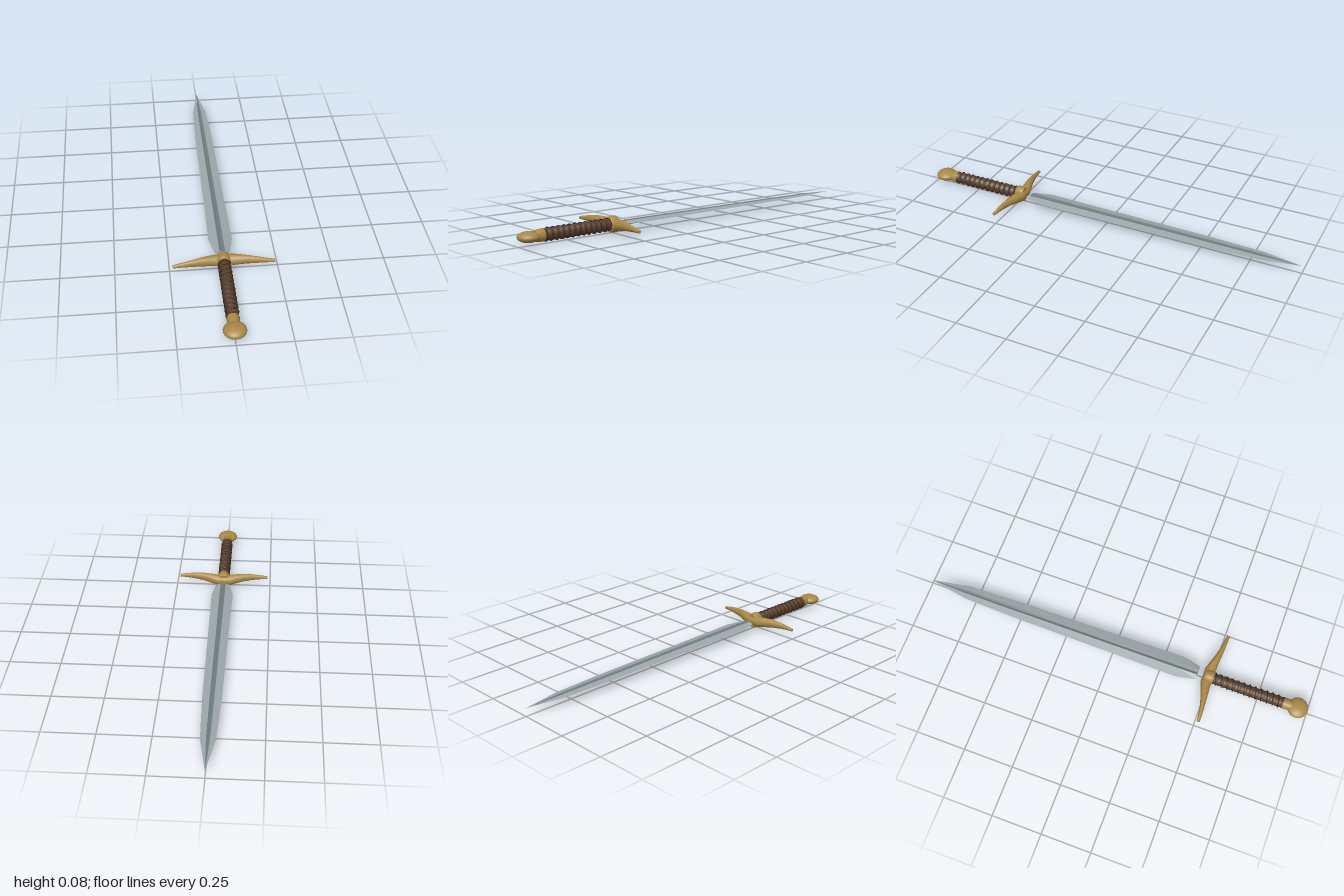
import * as THREE from 'three';

const MID = 0.04; // height of the sword's axis above the ground

const steel = new THREE.MeshStandardMaterial({ color: 0x9ca7a9 });
const darkSteel = new THREE.MeshStandardMaterial({ color: 0x6f7b7f });
const brass = new THREE.MeshStandardMaterial({ color: 0xa98848 });
const leather = new THREE.MeshStandardMaterial({ color: 0x5a402c });
const cord = new THREE.MeshStandardMaterial({ color: 0x3a281b });

// Skin closed rings of points; keep(j) picks the strips, ends are fanned shut
function loft(rings, { keep = () => true, caps = true, flat = false } = {}) {
  const n = rings[0].length;
  const pos = rings.flat(2);
  const idx = [];
  for (let i = 0; i < rings.length - 1; i++) {
    for (let j = 0; j < n; j++) {
      if (!keep(j)) continue;
      const a = i * n + j, b = i * n + (j + 1) % n;
      idx.push(a, b, b + n, a, b + n, a + n);
    }
  }
  if (caps) {
    for (const [ring, start] of [[rings[0], true], [rings[rings.length - 1], false]]) {
      const base = pos.length / 3;
      pos.push(...ring.flat());
      for (let j = 1; j < n - 1; j++) {
        if (start) idx.push(base, base + j + 1, base + j);
        else idx.push(base, base + j, base + j + 1);
      }
    }
  }
  let geo = new THREE.BufferGeometry();
  geo.setAttribute('position', new THREE.Float32BufferAttribute(pos, 3));
  geo.setIndex(idx);
  if (flat) geo = geo.toNonIndexed();
  geo.computeVertexNormals();
  return geo;
}

// Lathe around the z axis from [radius, z] pairs, flattened by sx and sy
function latheZ(profile, sx = 1, sy = 1) {
  const geo = new THREE.LatheGeometry(profile.map(([r, z]) => new THREE.Vector2(r, z)), 32);
  geo.rotateX(Math.PI / 2);
  geo.scale(sx, sy, 1);
  return geo;
}

export function createModel() {
  const sword = new THREE.Group();
  const add = (name, geo, mat) => {
    const mesh = new THREE.Mesh(geo, mat);
    mesh.name = name;
    mesh.position.y = MID;
    sword.add(mesh);
    return mesh;
  };

  // Blade stations: z, half width, fuller half width, half thickness, fuller depth level
  const stations = [
    [-1.0, 0, 0, 0, 0],
    [-0.8, 0.035, 0.009, 0.004, 0.002],
    [-0.53, 0.045, 0.011, 0.006, 0.003],
    [0.0, 0.051, 0.012, 0.008, 0.004],
    [0.34, 0.056, 0.013, 0.009, 0.005],
    [0.435, 0.035, 0.013, 0.009, 0.005],
  ];
  const bladeRings = stations.map(([z, w, f, t, g]) => [
    [w, 0, z], [f, t, z], [0, g, z], [-f, t, z],
    [-w, 0, z], [-f, -t, z], [0, -g, z], [f, -t, z],
  ]);
  const isFuller = (j) => j % 4 === 1 || j % 4 === 2;
  add('blade', loft(bladeRings, { keep: (j) => !isFuller(j), flat: true }), steel);
  add('fuller', loft(bladeRings, { keep: isFuller, caps: false, flat: true }), darkSteel);

  // Crossguard arm: x, bottom, top, back and front of each oval section
  const armSections = [
    [0.0, 0.012, 0.064, 0.462, 0.514],
    [0.035, 0.011, 0.066, 0.461, 0.514],
    [0.07, 0.018, 0.068, 0.472, 0.516],
    [0.11, 0.025, 0.068, 0.486, 0.519],
    [0.16, 0.030, 0.062, 0.499, 0.522],
    [0.20, 0.033, 0.055, 0.505, 0.524],
    [0.235, 0.034, 0.048, 0.509, 0.525],
  ];
  const oval = ([x, y0, y1, z0, z1]) => Array.from({ length: 20 }, (_, k) => {
    const a = (k / 20) * Math.PI * 2;
    return [
      x,
      (y0 + y1) / 2 - MID + ((y1 - y0) / 2) * Math.cos(a),
      (z0 + z1) / 2 + ((z1 - z0) / 2) * Math.sin(a),
    ];
  });
  const rightHalf = armSections.slice(1).reverse().map(([x, ...rest]) => [-x, ...rest]);
  add('crossguard', loft([...rightHalf, ...armSections].map(oval)), brass);

  // Collar around the middle of the guard
  add('guardCollar', latheZ([
    [0, 0.472], [0.034, 0.472], [0.034, 0.472], [0.039, 0.476], [0.04, 0.494],
    [0.039, 0.512], [0.034, 0.517], [0.034, 0.517], [0, 0.517],
  ], 0.85, 1), brass);

  // Leather grip with soft swells between the turns of cord
  const turns = 12, z0 = 0.515, z1 = 0.875;
  const gripProfile = [];
  for (let i = 0; i <= turns * 6; i++) {
    const t = i / (turns * 6);
    gripProfile.push([0.027 + 0.002 * Math.cos(t * turns * Math.PI * 2), z0 + (z1 - z0) * t]);
  }
  add('grip', latheZ(gripProfile, 0.98, 1.04), leather);

  // Cord wound along the grip
  class Helix extends THREE.Curve {
    getPoint(t, target = new THREE.Vector3()) {
      const a = t * turns * Math.PI * 2;
      return target.set(0.0288 * Math.cos(a), 0.0305 * Math.sin(a), z0 + 0.005 + (z1 - z0 - 0.01) * t);
    }
  }
  add('gripCord', new THREE.TubeGeometry(new Helix(), turns * 28, 0.0026, 6), cord);

  // Ferrule and flattened pommel
  add('ferrule', latheZ([
    [0, 0.87], [0.028, 0.87], [0.028, 0.87], [0.03, 0.875], [0.029, 0.9],
    [0.025, 0.918], [0.025, 0.918], [0, 0.918],
  ], 0.95, 1), brass);
  const pommel = add('pommel', new THREE.SphereGeometry(1, 32, 20), brass);
  pommel.scale.set(0.052, 0.025, 0.051);
  pommel.position.z = 0.949;

  return sword;
}
